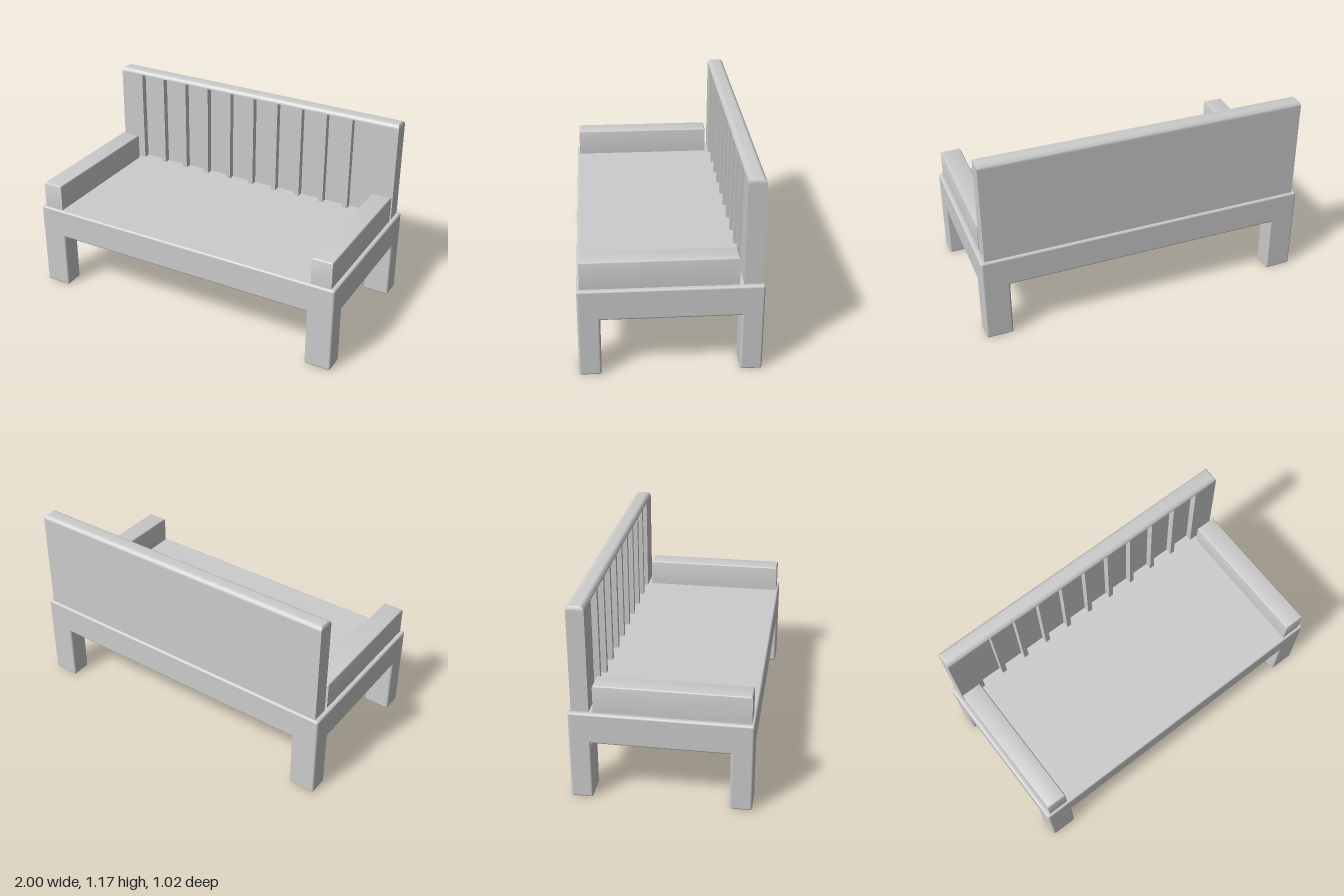
import * as THREE from 'three';
import { toCreasedNormals } from 'three/addons/utils/BufferGeometryUtils.js';
import { RoundedBoxGeometry } from 'three/addons/geometries/RoundedBoxGeometry.js';

const material = new THREE.MeshStandardMaterial({ color: 0xcccccc });

function add(parent, name, geometry, x = 0, y = 0, z = 0) {
  const mesh = new THREE.Mesh(geometry, material);
  mesh.name = name;
  mesh.position.set(x, y, z);
  parent.add(mesh);
  return mesh;
}

// Block standing on y = 0 with square vertical edges and a rounded top rim
function roundedTopBlock(w, h, d, rx, ry, rz, steps = 5) {
  const pos = [], idx = [];
  const ring = (hw, y, hd) => pos.push(-hw, y, hd, hw, y, hd, hw, y, -hd, -hw, y, -hd);
  ring(w / 2, 0, d / 2);
  for (let i = 0; i <= steps; i++) {
    const a = (i / steps) * Math.PI / 2, c = 1 - Math.cos(a);
    ring(w / 2 - rx * c, h - ry + ry * Math.sin(a), d / 2 - rz * c);
  }
  const rings = pos.length / 12;
  for (let r = 0; r < rings - 1; r++) {
    for (let k = 0; k < 4; k++) {
      const a = r * 4 + k, b = r * 4 + (k + 1) % 4;
      idx.push(a, b, b + 4, a, b + 4, a + 4);
    }
  }
  const t = (rings - 1) * 4;
  idx.push(0, 2, 1, 0, 3, 2, t, t + 1, t + 2, t, t + 2, t + 3);
  const g = new THREE.BufferGeometry();
  g.setAttribute('position', new THREE.Float32BufferAttribute(pos, 3));
  g.setIndex(idx);
  return toCreasedNormals(g, 0.6);
}

// Small concave corner piece, filling the angle between a leg and the seat
function filletGeometry(r, length) {
  const s = new THREE.Shape();
  s.moveTo(0.02, 0.02);
  s.lineTo(0.02, -r);
  s.lineTo(0, -r);
  s.absarc(-r, -r, r, 0, Math.PI / 2, false);
  s.lineTo(-r, 0.02);
  s.closePath();
  const g = new THREE.ExtrudeGeometry(s, { depth: length, bevelEnabled: false, curveSegments: 6 });
  g.translate(0, 0, -length / 2);
  return toCreasedNormals(g, 0.6);
}

export function createModel() {
  const bench = new THREE.Group();
  bench.name = 'bench';

  // Seat and legs
  const seatTop = 0.54, seatBottom = 0.355, halfX = 1, halfZ = 0.512;
  const legX = 0.162, legZ = 0.125, edge = 0.013;
  add(bench, 'seat', new RoundedBoxGeometry(2 * halfX, seatTop - seatBottom, 2 * halfZ, 4, edge),
    0, (seatTop + seatBottom) / 2, 0);
  const legGeo = new RoundedBoxGeometry(legX, 0.48, legZ, 4, edge);
  const filletX = filletGeometry(0.018, legZ - 2 * edge);
  const filletZ = filletGeometry(0.018, legX - 2 * edge);
  for (const sx of [-1, 1]) {
    for (const sz of [-1, 1]) {
      const x = sx * (halfX - legX / 2), z = sz * (halfZ - legZ / 2);
      add(bench, (sz > 0 ? 'front' : 'back') + (sx > 0 ? 'Left' : 'Right') + 'Leg', legGeo, x, 0.24, z);
      add(bench, 'legFilletAcross', filletX, sx * (halfX - legX), seatBottom, z)
        .rotation.y = sx > 0 ? 0 : Math.PI;
      add(bench, 'legFilletDeep', filletZ, x, seatBottom, sz * (halfZ - legZ))
        .rotation.y = -sz * Math.PI / 2;
    }
  }

  // Armrests
  const armGeo = roundedTopBlock(0.125, 0.165, 0.87, 0.01, 0.012, 0.012);
  for (const sx of [-1, 1]) {
    add(bench, sx > 0 ? 'leftArmrest' : 'rightArmrest', armGeo, sx * 0.9125, seatTop, 0.062);
  }

  // Backrest: a comb-shaped plan with ten recessed panels, extruded upward
  const back = new THREE.Group();
  back.name = 'backrest';
  bench.add(back);
  const front = 0.397, rear = 0.497, recess = 0.04, panels = 10, pitch = 0.1667, width = 0.136;
  const plan = new THREE.Shape();
  plan.moveTo(-0.975, front);
  for (let i = 0; i < panels; i++) {
    const c = (i - (panels - 1) / 2) * pitch;
    plan.lineTo(c - width / 2, front);
    plan.lineTo(c - width / 2, front + recess);
    plan.lineTo(c + width / 2, front + recess);
    plan.lineTo(c + width / 2, front);
  }
  plan.lineTo(0.975, front);
  plan.lineTo(0.975, rear);
  plan.lineTo(-0.975, rear);
  plan.closePath();
  const panelGeo = new THREE.ExtrudeGeometry(plan, { depth: 0.6, bevelEnabled: false });
  panelGeo.rotateX(-Math.PI / 2);
  add(back, 'backPanel', panelGeo, 0, seatTop, 0);

  // Rounded rail along the top of the backrest
  add(back, 'topRail', roundedTopBlock(1.95, 0.027, 0.1, 0.015, 0.026, 0.03, 6),
    0, seatTop + 0.6, -(front + rear) / 2);

  return bench;
}
